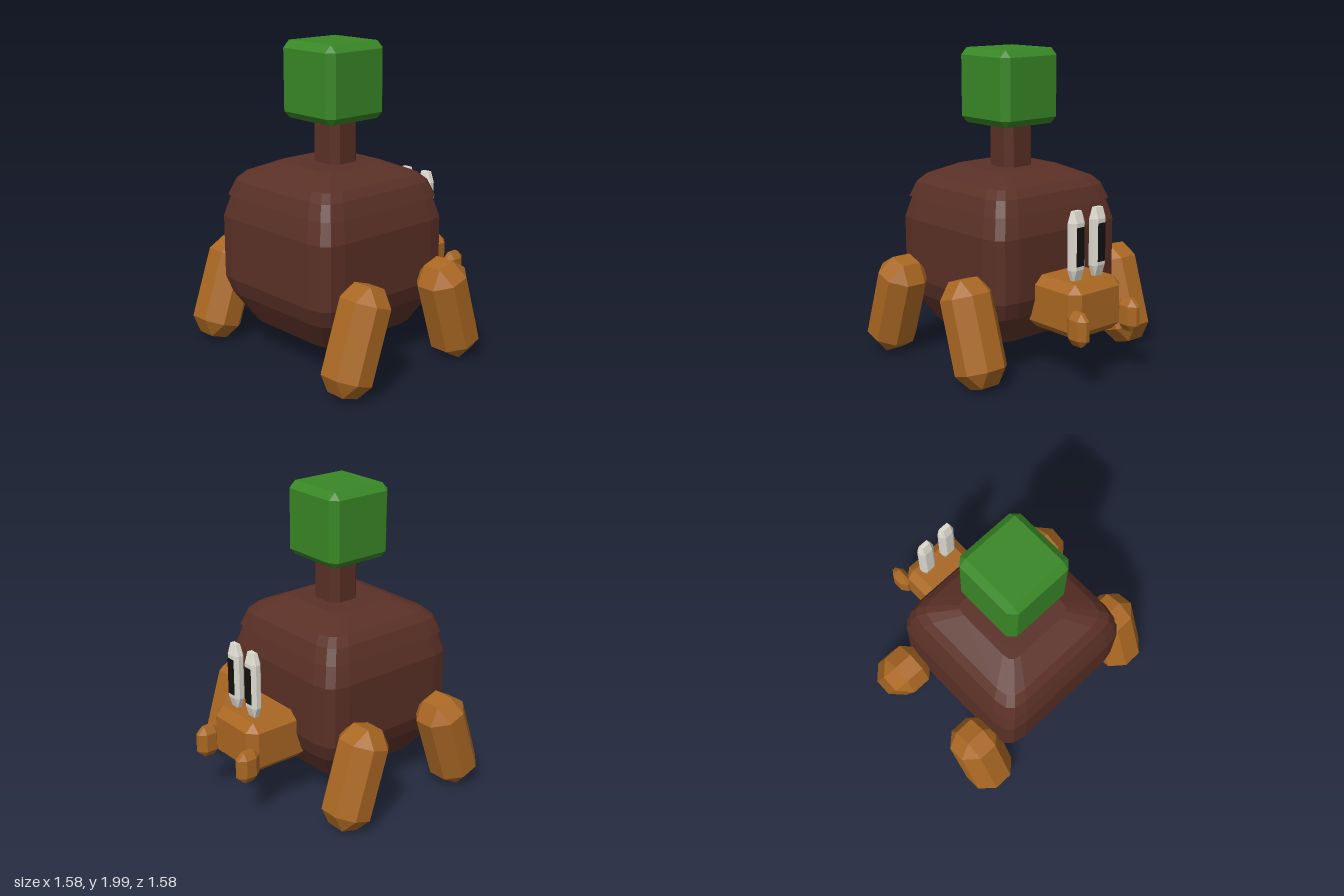
import * as THREE from 'three';
import { ConvexGeometry } from 'three/addons/geometries/ConvexGeometry.js';

const mat = (name, color) => {
  const m = new THREE.MeshStandardMaterial({ color, flatShading: true });
  m.name = name;
  return m;
};

// Box of full size [x, y, z] with every edge cut by chamfer [x, y, z]
function chamferBox(size, chamfer) {
  const h = size.map((s) => s / 2);
  const pts = [];
  for (const sx of [-1, 1]) for (const sy of [-1, 1]) for (const sz of [-1, 1]) {
    for (let axis = 0; axis < 3; axis++) {
      const p = h.map((v, i) => (i === axis ? v : v - chamfer[i]));
      pts.push(new THREE.Vector3(sx * p[0], sy * p[1], sz * p[2]));
    }
  }
  return new ConvexGeometry(pts);
}

// Hull through rounded square rings, each given as [height, half width]
function ringHull(rings) {
  const corner = [[1, 0.7], [0.965, 0.88], [0.88, 0.965], [0.7, 1]];
  const pts = [];
  for (const [y, h] of rings) {
    for (const sx of [-1, 1]) for (const sz of [-1, 1]) {
      for (const [a, b] of corner) pts.push(new THREE.Vector3(sx * a * h, y, sz * b * h));
    }
  }
  return new ConvexGeometry(pts);
}

export function createModel() {
  const model = new THREE.Group();
  model.name = 'turtle';
  const brown = mat('shellBrown', 0x5a3026);
  const orange = mat('skinOrange', 0xa96722);
  const green = mat('leafGreen', 0x398726);
  const white = mat('eyeWhite', 0xdcd9ce);
  const black = mat('pupilBlack', 0x111111);

  const add = (name, geometry, material, x, y, z, parent = model) => {
    const mesh = new THREE.Mesh(geometry, material);
    mesh.name = name;
    mesh.position.set(x, y, z);
    parent.add(mesh);
    return mesh;
  };

  // Body and the shell cap that overhangs it
  add('body', ringHull([[0.2, 0.37], [0.39, 0.485], [0.5, 0.52], [0.9, 0.52], [1.06, 0.475]]), brown, -0.19, 0, 0);
  add('shellCap', ringHull([[1.035, 0.497], [1.13, 0.46], [1.18, 0.41], [1.25, 0.25]]), brown, -0.19, 0, 0);

  // Small tree growing on the shell
  add('trunk', chamferBox([0.22, 0.36, 0.23], [0.045, 0.03, 0.045]), brown, -0.16, 1.38, 0.005);
  add('treeCrown', chamferBox([0.47, 0.48, 0.47], [0.045, 0.045, 0.045]), green, -0.175, 1.76, 0.005);

  // Four splayed legs
  const legGeo = chamferBox([0.3, 0.66, 0.31], [0.09, 0.1, 0.09]);
  for (const [zName, z] of [['Left', -0.635], ['Right', 0.632]]) {
    add('frontLeg' + zName, legGeo, orange, 0.22, 0.345, z).rotation.z = 0.3;
    add('rearLeg' + zName, legGeo, orange, -0.573, 0.348, z).rotation.z = -0.335;
  }

  // Head with a claw on each side
  const head = new THREE.Group();
  head.name = 'head';
  model.add(head);
  add('skull', chamferBox([0.46, 0.345, 0.435], [0.058, 0.055, 0.058]), orange, 0.45, 0.475, 0.017, head);
  const clawGeo = chamferBox([0.16, 0.21, 0.09], [0.045, 0.045, 0.032]);
  for (const z of [-0.198, 0.233]) add('claw', clawGeo, orange, 0.71, 0.405, z, head);

  // Tall eyes with thin pupils on their front faces
  const eyeGeo = chamferBox([0.075, 0.43, 0.112], [0.022, 0.07, 0.026]);
  const pupilGeo = new THREE.BoxGeometry(0.008, 0.24, 0.06);
  for (const z of [-0.067, 0.112]) {
    add('eye', eyeGeo, white, 0.56, 0.863, z, head);
    add('pupil', pupilGeo, black, 0.597, 0.862, z, head);
  }
  return model;
}
